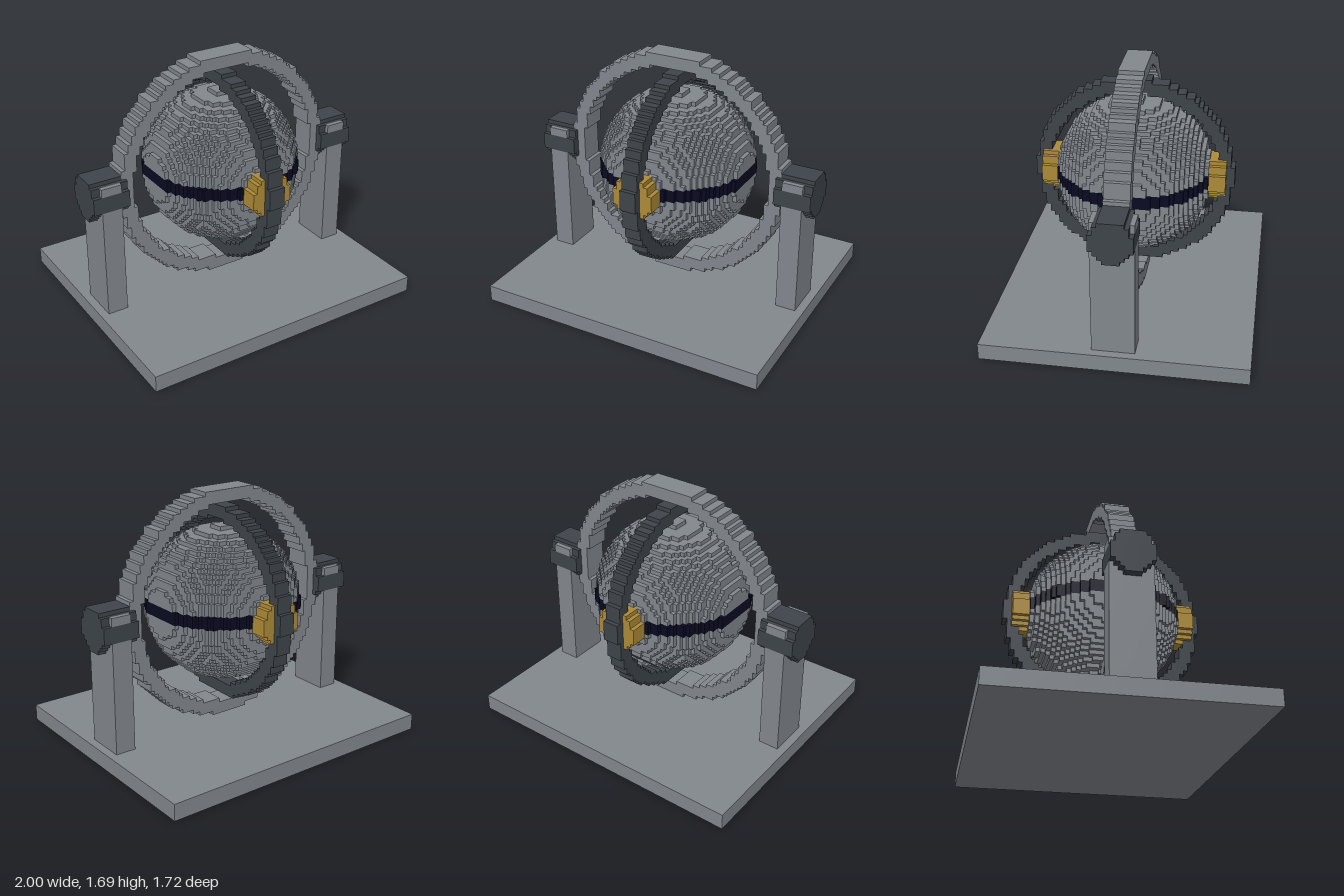
import * as THREE from 'three';

const U = 1 / 36;   // size of one cube
const CY = 33.2;    // height of the pivot axis, in cubes

const mat = (name, color) => {
  const m = new THREE.MeshStandardMaterial({ color });
  m.name = name;
  return m;
};

export function createModel() {
  const grey = mat('stone grey', 0x82878d);
  const dark = mat('dark iron', 0x3e444a);
  const gold = mat('gold', 0xac8a36);
  const navy = mat('midnight blue', 0x0a0a22);

  const cells = new Map();  // cube position -> part that owns it
  const parts = [];
  const key = (x, y, z) => ((x + 64) * 128 + y + 8) * 128 + z + 64;

  // Fills every cube in the box [min, max) whose centre passes the test
  function addPart(name, material, [x0, y0, z0], [x1, y1, z1], test = () => true) {
    const part = { name, material };
    parts.push(part);
    for (let x = x0; x < x1; x++)
      for (let y = y0; y < y1; y++)
        for (let z = z0; z < z1; z++)
          if (test(x + 0.5, y + 0.5 - CY, z + 0.5)) cells.set(key(x, y, z), { part, p: [x, y, z] });
  }

  // Base plate and the two posts
  addPart('base', grey, [-36, 0, -31], [36, 4, 31]);
  for (const [side, x] of [['left', 29], ['right', -34]])
    addPart(side + 'Post', grey, [x, 4, -5], [x + 5, 37, 5]);

  // Pivot hubs on the posts
  for (const [side, x] of [['left', 27], ['right', -36]])
    addPart(side + 'Hub', dark, [x, 26, -6], [x + 9, 41, 6], (a, y, z) => Math.hypot(y, z) <= 5);

  // Upright outer ring
  addPart('outerRing', grey, [-30, 4, -3], [30, 63, 3], (x, y) => {
    const r = Math.hypot(x, y);
    return r > 24.93 && r <= 28.15;
  });

  // Globe with a band round its middle
  const inGlobe = (x, y, z) => Math.hypot(x, y, z) <= 18.45;
  addPart('globe', grey, [-20, 12, -20], [20, 54, 20], inGlobe);
  addPart('globeBand', navy, [-20, 32, -20], [20, 35, 20], inGlobe);

  // Gold bearings at front and back
  for (const [side, z] of [['front', 18], ['back', -22]])
    addPart(side + 'Bearing', gold, [-6, 26, z], [6, 41, z + 4], (x, y) => Math.hypot(x, y) <= 5);

  // Inner ring, running front to back
  addPart('innerRing', dark, [-2, 8, -25], [2, 60, 25], (x, y, z) => {
    const r = Math.hypot(y, z);
    return r > 20.5 && r <= 23.65;
  });

  // Collect the exposed cube faces of each part
  for (const part of parts) Object.assign(part, { pos: [], nor: [], idx: [] });
  for (const { part, p } of cells.values()) {
    for (let a = 0; a < 3; a++) {
      for (const s of [-1, 1]) {
        const q = [...p];
        q[a] += s;
        if (cells.has(key(...q))) continue;
        const n = [0, 0, 0];
        n[a] = s;
        const first = part.pos.length / 3;
        for (const [i, j] of [[0, 0], [1, 0], [1, 1], [0, 1]]) {
          const c = [...p];
          c[a] += s > 0 ? 1 : 0;
          c[(a + 1) % 3] += i;
          c[(a + 2) % 3] += j;
          part.pos.push(c[0] * U, c[1] * U, c[2] * U);
          part.nor.push(...n);
        }
        const order = s > 0 ? [0, 1, 2, 0, 2, 3] : [0, 2, 1, 0, 3, 2];
        part.idx.push(...order.map((k) => first + k));
      }
    }
  }

  const model = new THREE.Group();
  model.name = 'gimbalGlobe';
  for (const { name, material, pos, nor, idx } of parts) {
    const g = new THREE.BufferGeometry();
    g.setAttribute('position', new THREE.Float32BufferAttribute(pos, 3));
    g.setAttribute('normal', new THREE.Float32BufferAttribute(nor, 3));
    g.setIndex(idx);
    const mesh = new THREE.Mesh(g, material);
    mesh.name = name;
    model.add(mesh);
  }
  return model;
}
